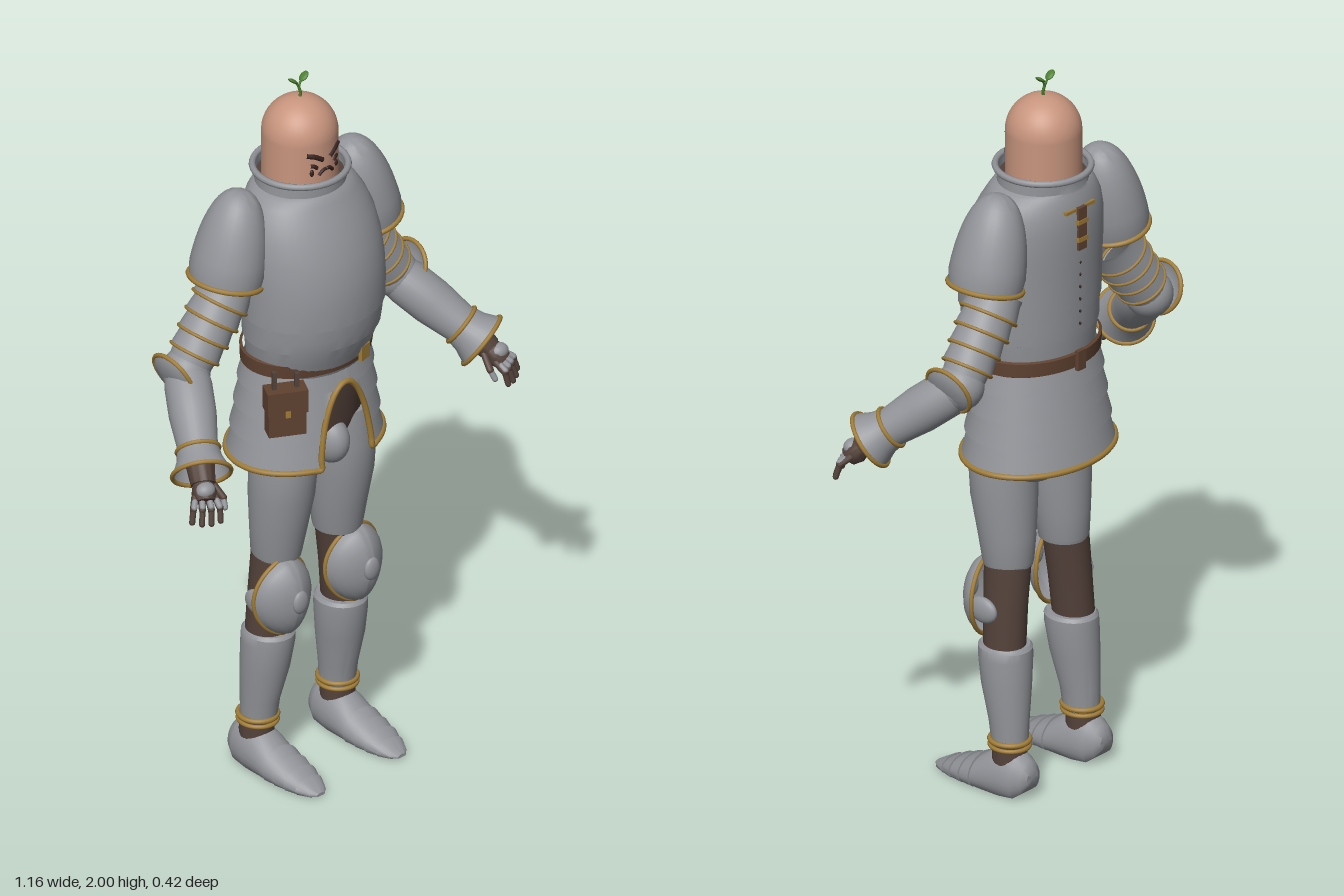
import * as THREE from 'three';
import { toCreasedNormals } from 'three/addons/utils/BufferGeometryUtils.js';

const mat = (name, color, double) => {
  const m = new THREE.MeshStandardMaterial({ color });
  m.name = name;
  if (double) m.side = THREE.DoubleSide;
  return m;
};
const V = (x, y, z) => new THREE.Vector3(x, y, z);
const UP = V(0, 1, 0);

// Closed loops of points, bottom to top, joined into a skin
function loft(rings, cap = false) {
  const mid = r => { const c = r.reduce((a, p) => a.add(p), V(0, 0, 0)).divideScalar(r.length); return r.map(() => c); };
  if (cap) rings = [mid(rings[0]), ...rings, mid(rings[rings.length - 1])];
  const n = rings[0].length, idx = [];
  for (let i = 0; i < rings.length - 1; i++) for (let j = 0; j < n; j++) {
    const k = (j + 1) % n, a = i * n + j, b = i * n + k, c = b + n, d = a + n;
    idx.push(a, b, c, a, c, d);
  }
  const g = new THREE.BufferGeometry().setFromPoints(rings.flat());
  g.setIndex(idx);
  return toCreasedNormals(g, 0.6);
}
const ellipse = (y, cx, cz, rx, rz, n = 36) => Array.from({ length: n }, (_, i) => {
  const a = i / n * Math.PI * 2;
  return V(cx + rx * Math.sin(a), y, cz + rz * Math.cos(a));
});

export function createModel() {
  const root = new THREE.Group();
  root.name = 'armouredFigure';
  const steel = mat('steel', 0x929499, true), gold = mat('gold trim', 0xa07c36);
  const leather = mat('leather', 0x5f4231), cloth = mat('dark cloth', 0x53413a);
  const skin = mat('skin', 0xc8957e), dark = mat('face marks', 0x35221f), leaf = mat('leaf', 0x4a7d2c, true);

  const add = (name, geo, m, pos) => {
    const mesh = new THREE.Mesh(geo, m);
    mesh.name = name;
    if (pos) mesh.position.copy(pos);
    root.add(mesh);
    return mesh;
  };
  const ball = (name, m, c, rx, ry, rz) => add(name, new THREE.SphereGeometry(1, 24, 16).scale(rx, ry, rz), m, c);
  const aim = (mesh, p, q) => { mesh.quaternion.setFromUnitVectors(UP, q.clone().sub(p).normalize()); return mesh; };
  // Turned shape between two points; rows are [share of length, radius]
  const limb = (name, m, p, q, rows, zs = 1) => {
    const L = p.distanceTo(q);
    const g = new THREE.LatheGeometry(rows.map(([t, r]) => new THREE.Vector2(r, t * L)), 28).scale(1, 1, zs);
    return aim(add(name, toCreasedNormals(g, 0.6), m, p), p, q);
  };
  const ring = (name, m, p, q, t, r, tube, zs = 1) =>
    aim(add(name, new THREE.TorusGeometry(r, tube, 8, 36).rotateX(Math.PI / 2).scale(1, 1, zs), m, p.clone().lerp(q, t)), p, q);
  const wire = (name, m, pts, r, closed = false) =>
    add(name, new THREE.TubeGeometry(new THREE.CatmullRomCurve3(pts, closed), pts.length * 4, r, 8, closed), m);
  // Loops given as [y, half width, front z, back z]
  const body = rows => rows.map(([y, w, f, b]) => ellipse(y, 0, (f + b) / 2, w, (f - b) / 2, 48));

  // Head, face and sprout
  const headZ = -0.063;
  add('head', new THREE.CapsuleGeometry(0.1, 0.2, 12, 36), skin, V(0, 1.74, headZ));
  const onFace = (pts, r, name) => wire(name, dark, pts.map(([x, y]) => V(x, y, headZ + Math.sqrt(0.01 - x * x))), r);
  for (const s of [1, -1]) {
    onFace([[s * 0.055, 1.818], [s * 0.035, 1.812], [s * 0.012, 1.798]], 0.007, 'brow');
    onFace([[s * 0.046, 1.786], [s * 0.036, 1.784], [s * 0.028, 1.777]], 0.0055, 'eye');
    ball('cheekMark', dark, V(s * 0.042, 1.765, headZ + 0.091), 0.006, 0.01, 0.005);
    onFace([[0, 1.768], [s * 0.012, 1.766], [s * 0.024, 1.755]], 0.005, 'mouth');
    wire('sproutStalk', leaf, [V(0, 1.965, -0.067), V(s * 0.008, 1.98, -0.068), V(s * 0.018, 1.988, -0.068)], 0.003);
    ball('sproutLeaf', leaf, V(s * 0.019, 1.99, -0.068), 0.016, 0.005, 0.012).rotation.z = s * 0.65;
  }
  wire('sproutStem', leaf, [V(0, 1.93, -0.063), V(0.003, 1.95, -0.064), V(0, 1.967, -0.067)], 0.004);

  // Breastplate with two overlapping lower plates, and collar
  add('breastplate', loft(body([
    [1.19, 0.172, 0.1, -0.168], [1.24, 0.182, 0.12, -0.172], [1.285, 0.19, 0.137, -0.175], [1.287, 0.194, 0.141, -0.179],
    [1.32, 0.196, 0.147, -0.18], [1.355, 0.198, 0.151, -0.181], [1.357, 0.202, 0.155, -0.185], [1.42, 0.203, 0.157, -0.187],
    [1.48, 0.202, 0.152, -0.189], [1.54, 0.2, 0.138, -0.192], [1.6, 0.192, 0.116, -0.193], [1.645, 0.177, 0.093, -0.191],
    [1.68, 0.156, 0.073, -0.184], [1.697, 0.138, 0.063, -0.178], [1.703, 0.122, 0.056, -0.176], [1.735, 0.12, 0.056, -0.178]])), steel);
  ring('collarRim', steel, V(0, 1.74, -0.061), V(0, 2, -0.061), 0, 0.124, 0.009);
  add('collarLining', new THREE.CylinderGeometry(0.115, 0.115, 0.004, 32), cloth, V(0, 1.715, -0.061));

  // Back strap and seam
  add('backStrap', new THREE.BoxGeometry(0.03, 0.12, 0.012), leather, V(0, 1.6, -0.193));
  add('backStrapBar', new THREE.BoxGeometry(0.11, 0.009, 0.014), gold, V(0, 1.655, -0.184));
  for (const y of [1.57, 1.62]) add('strapBuckle', new THREE.BoxGeometry(0.036, 0.012, 0.016), gold, V(0, y, -0.193));
  for (let i = 0; i < 6; i++) ball('backRivet', dark, V(0, 1.5 - i * 0.035, -0.189), 0.003, 0.005, 0.003);

  // Belt, buckle and pouch
  add('belt', loft(body([[1.2, 0.183, 0.098, -0.18], [1.203, 0.189, 0.108, -0.186], [1.241, 0.191, 0.114, -0.188], [1.244, 0.184, 0.108, -0.18]])), leather);
  add('beltBuckle', new THREE.BoxGeometry(0.04, 0.042, 0.01), gold, V(0.07, 1.222, 0.106)).rotation.y = 0.25;
  add('beltLoop', new THREE.BoxGeometry(0.03, 0.055, 0.012), leather, V(0, 1.222, -0.19));
  const pouch = new THREE.Group();
  pouch.name = 'pouch';
  pouch.position.set(-0.178, 1.13, 0.075);
  pouch.rotation.y = -0.5;
  const bag = (name, w, h, d, m, x, y, z) => {
    const b = new THREE.Mesh(new THREE.BoxGeometry(w, h, d), m);
    b.name = name;
    b.position.set(x, y, z);
    pouch.add(b);
  };
  bag('pouchBody', 0.1, 0.125, 0.045, leather, 0, 0, 0);
  bag('pouchFlap', 0.108, 0.065, 0.056, leather, 0, 0.037, 0);
  bag('pouchClasp', 0.014, 0.018, 0.005, gold, 0, 0.005, 0.029);
  bag('pouchTool', 0.012, 0.06, 0.012, cloth, -0.03, 0.09, 0);
  bag('pouchTool', 0.012, 0.05, 0.012, cloth, 0.03, 0.085, 0);
  root.add(pouch);

  // Plated skirt with an arched front opening
  const arch = 0.41, hem = 0.935, top = 1.215, angles = [];
  for (let i = 0; i < 28; i++) angles.push(arch * Math.sin(-Math.PI / 2 + i / 28 * Math.PI));
  for (let i = 0; i < 48; i++) angles.push(arch + i / 48 * (2 * Math.PI - 2 * arch));
  const lowEdge = a => Math.abs(a) < arch ? hem + 0.225 * Math.sqrt(1 - (a / arch) ** 2) : hem;
  const skirtAt = (a, y, step) => {
    const t = (top - y) / (top - hem), out = step * 0.009;
    return V((0.178 + 0.038 * t + out) * Math.sin(a), y, -0.04 - 0.005 * t + (0.135 + 0.032 * t + out) * Math.cos(a));
  };
  const levels = [];
  for (let k = 3; k >= 0; k--) levels.push([(k + 0.98) / 4, 1], [k / 4, 0]);
  const skirtRings = levels.map(([t, step]) => angles.map(a => skirtAt(a, Math.max(top - t * (top - hem), lowEdge(a)), step)));
  add('skirtPlates', loft(skirtRings), steel);
  wire('skirtTrim', gold, angles.map(a => skirtAt(a, lowEdge(a), 0.9)), 0.008, true);
  add('hips', loft([ellipse(0.95, 0, -0.03, 0.12, 0.09), ellipse(1.02, 0, -0.035, 0.16, 0.115), ellipse(1.2, 0, -0.04, 0.165, 0.12)], true), cloth);
  ball('codpiece', steel, V(0, 0.965, 0.05), 0.046, 0.066, 0.06);

  for (const s of [1, -1]) {
    const P = (x, y, z) => V(s * x, y, z);

    // Shoulder dome
    const base = P(0.245, 1.485, -0.08), apex = P(0.19, 1.73, -0.08);
    const dome = [[0, 0.093]];
    for (let i = 1; i <= 12; i++) dome.push([Math.sin(i / 12 * Math.PI / 2), 0.098 * Math.cos(i / 12 * Math.PI / 2) ** 0.85 + 1e-5]);
    limb('pauldron', steel, base, apex, dome, 1.06);
    ring('pauldronTrim', gold, base, apex, 0, 0.094, 0.007, 1.06);

    // Upper arm in overlapping bands, with elbow and its wing
    const sh = P(0.215, 1.46, -0.095), el = P(0.365, 1.25, -0.1);
    const bands = [[0, 0.07]];
    for (let i = 0; i < 4; i++) bands.push([i * 0.19 + 0.05, 0.069 - i * 0.002], [i * 0.19 + 0.235, 0.077 - i * 0.003]);
    bands.push([0.82, 0.06], [1, 0.055]);
    limb('upperArm', steel, sh, el, bands);
    for (let i = 0; i < 4; i++) ring('armBandTrim', gold, sh, el, i * 0.19 + 0.235, 0.076 - i * 0.003, 0.0045);
    ball('elbow', steel, el, 0.063, 0.065, 0.065);
    const w0 = P(0.408, 1.252, -0.1), w1 = P(0.426, 1.245, -0.1);
    limb('elbowWing', steel, w0, w1, [[0, 0.07], [0.5, 0.058], [0.9, 0.03], [1, 1e-5]]);
    ring('elbowWingTrim', gold, w0, w1, 0, 0.069, 0.006);

    // Forearm and flared cuff
    const wr = P(0.487, 1.085, 0.088);
    limb('forearm', steel, el, wr, [[0, 0.055], [0.15, 0.062], [0.45, 0.062], [0.8, 0.052], [0.85, 0.053]]);
    limb('cuff', steel, el, wr, [[0.78, 0.054], [0.9, 0.06], [1.04, 0.077]]);
    ring('cuffBand', gold, el, wr, 0.8, 0.055, 0.006);
    ring('cuffTrim', gold, el, wr, 1.04, 0.077, 0.006);

    // Gauntlet
    const d = P(0.4, -0.66, 0.62).normalize(), u = P(0.8, 0.06, -0.45).normalize();
    const n = P(0.25, 0.68, 0.6).normalize();
    const at = (a, b, c) => wr.clone().addScaledVector(d, a).addScaledVector(u, b).addScaledVector(n, c);
    limb('gloveWrist', cloth, at(-0.03, 0, 0), at(0.04, 0, 0), [[0, 0.04], [1, 0.032], [1.02, 1e-5]]);
    limb('palm', cloth, at(0.02, 0, 0), at(0.09, 0, 0), [[0, 1e-5], [0.1, 0.024], [0.6, 0.033], [0.95, 0.026], [1, 1e-5]]);
    ball('handPlate', steel, at(0.06, 0, 0.014), 0.027, 0.022, 0.024);
    const finger = (m, p, q, r) => aim(add('finger', new THREE.CapsuleGeometry(r, p.distanceTo(q), 4, 10), m, p.clone().lerp(q, 0.5)), p, q);
    for (let i = 0; i < 4; i++) {
      const b = (i - 1.5) * 0.018, l = i === 0 || i === 3 ? 0.9 : 1;
      finger(cloth, at(0.075, b, 0), at(0.075 + 0.035 * l, b * 1.3, 0.003), 0.0095);
      finger(steel, at(0.088, b * 1.1, 0.005), at(0.104, b * 1.25, 0.007), 0.0085);
      finger(cloth, at(0.075 + 0.035 * l, b * 1.3, 0.003), at(0.075 + 0.068 * l, b * 1.4, -0.016), 0.008);
    }
    finger(cloth, at(0.035, -0.026, -0.005), at(0.075, -0.052, -0.012), 0.0095);
    finger(steel, at(0.075, -0.052, -0.012), at(0.1, -0.055, -0.02), 0.008);

    // Thigh, seat and legging
    ball('seat', steel, P(0.082, 0.965, -0.1), 0.085, 0.085, 0.085);
    add('thigh', loft([
      ellipse(0.632, s * 0.107, -0.036, 0.063, 0.066), ellipse(0.645, s * 0.107, -0.036, 0.066, 0.069), ellipse(0.72, s * 0.105, -0.03, 0.075, 0.078),
      ellipse(0.82, s * 0.104, -0.02, 0.086, 0.089), ellipse(0.92, s * 0.102, -0.015, 0.089, 0.093), ellipse(1.02, s * 0.095, -0.02, 0.085, 0.09)], true), steel);
    add('legging', loft([ellipse(0.38, s * 0.135, -0.048, 0.053, 0.057), ellipse(0.52, s * 0.124, -0.043, 0.056, 0.059), ellipse(0.66, s * 0.109, -0.038, 0.06, 0.064)], true), cloth);

    // Knee plate: a pointed dome with trim, boss and side disc
    const knee = P(0.125, 0.535, 0.013);
    const shield = (k, h) => Array.from({ length: 40 }, (_, i) => {
      const a = i / 40 * Math.PI * 2, x = Math.sin(a), y = Math.cos(a);
      const px = 0.09 * Math.sign(x) * Math.abs(x) ** 1.25, py = y > 0 ? 0.108 * y : 0.116 * y;
      return V(px * k, py * k, h - 0.018 * x * x * k);
    });
    const kneeRings = [0, 0.2, 0.4, 0.6, 0.8, 0.95, 0.999].map(t => shield(Math.sqrt(1 - t * t), 0.066 * t).reverse());
    add('kneePlate', loft(kneeRings.reverse()), steel, knee);
    wire('kneeTrim', gold, shield(1, 0), 0.006, true).position.copy(knee);
    ball('kneeBoss', steel, P(0.125, 0.535, 0.075), 0.025, 0.033, 0.013);
    ball('kneeSideDisc', steel, P(0.186, 0.517, -0.02), 0.018, 0.036, 0.046);

    // Greave
    add('greave', loft([
      ellipse(0.14, s * 0.138, -0.07, 0.046, 0.05), ellipse(0.2, s * 0.137, -0.066, 0.05, 0.055), ellipse(0.3, s * 0.132, -0.053, 0.063, 0.068),
      ellipse(0.38, s * 0.128, -0.046, 0.068, 0.074), ellipse(0.405, s * 0.127, -0.045, 0.067, 0.074), ellipse(0.414, s * 0.127, -0.045, 0.06, 0.067)], true), steel);
    ring('greaveTrim', gold, P(0.14, 0.15, -0.071), P(0.14, 1, -0.071), 0, 0.05, 0.007, 1.05);
    ring('greaveTrim', gold, P(0.14, 0.134, -0.071), P(0.14, 1, -0.071), 0, 0.05, 0.006, 1.05);
    limb('ankle', cloth, P(0.142, 0.08, -0.073), P(0.142, 0.15, -0.073), [[0, 0.047], [1, 0.045]]);

    // Pointed plated shoe; sections are [z, half width, bottom, top]
    const shoe = [[-0.152, 0.022, 0.045, 0.085], [-0.14, 0.04, 0.025, 0.105], [-0.115, 0.053, 0.005, 0.122], [-0.07, 0.058, 0, 0.125], [-0.025, 0.06, 0, 0.108],
      [0.015, 0.06, 0, 0.08], [0.016, 0.064, 0, 0.086], [0.052, 0.058, 0, 0.066], [0.053, 0.062, 0, 0.071], [0.088, 0.053, 0, 0.052],
      [0.089, 0.057, 0, 0.057], [0.122, 0.044, 0, 0.037], [0.123, 0.047, 0, 0.042], [0.155, 0.03, 0.002, 0.023], [0.17, 0.014, 0.005, 0.014]];
    add('shoe', loft(shoe.map(([z, w, lo, hi]) => Array.from({ length: 24 }, (_, i) => {
      const a = i / 24 * Math.PI * 2, c = Math.sin(a), low = lo + (hi - lo) * 0.35;
      return V(s * 0.142 + w * Math.cos(a), c > 0 ? low + (hi - low) * c : low + (low - lo) * Math.max(c * 1.5, -1), z);
    })), true), steel);
  }
  return root;
}
